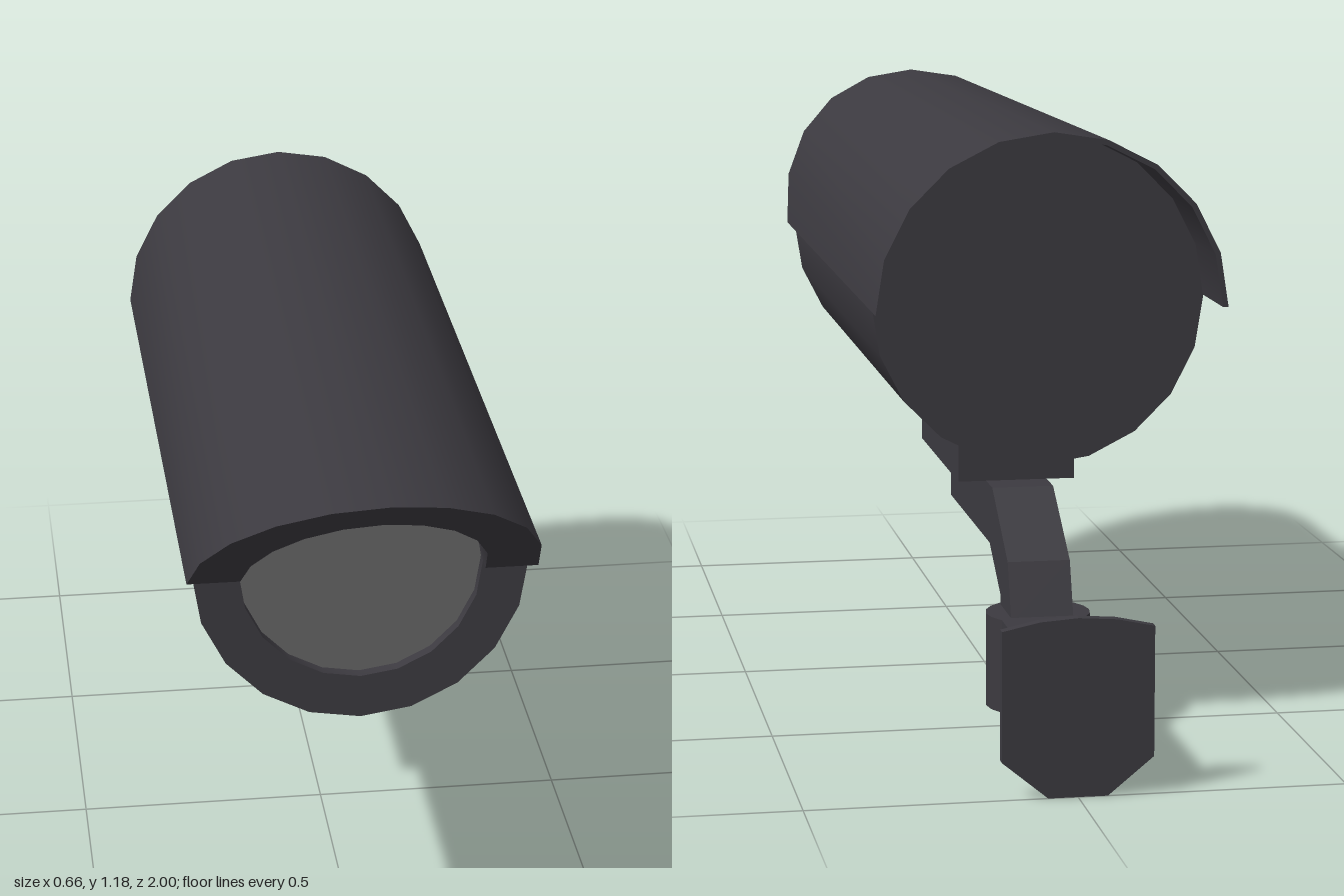
import * as THREE from 'three';
import { toCreasedNormals } from 'three/addons/utils/BufferGeometryUtils.js';

const AXIS_Y = 0.85; // height of the housing's centre line
const SIDES = 20;

// Half-round sunshade: one closed section per angle, joined into a solid
function hoodGeometry() {
  const height = (z) => 0.33 - 0.025 * (z + 0.75) / 1.75; // roof slopes down to the front
  const section = (a) => {
    const c = Math.cos(a), s = Math.sin(a);
    const shell = (r, z) => [r * c, AXIS_Y + (r / 0.33) * height(z) * s, z];
    const bore = (z) => [0.23 * c, AXIS_Y + 0.23 * s, z];
    return [
      shell(0.33, -0.75), shell(0.33, 0.65 + 0.35 * s),
      bore(0.65 + 0.264 * s), bore(0.62),
      shell(0.32, 0.62), shell(0.32, -0.75),
    ];
  };
  const pos = [];
  const tri = (...pts) => pts.forEach((p) => pos.push(...p));
  const n = SIDES / 2;
  for (let i = 0; i < n; i++) {
    const p = section((i / n) * Math.PI), q = section(((i + 1) / n) * Math.PI);
    for (let j = 0; j < 6; j++) {
      const k = (j + 1) % 6;
      tri(p[j], q[k], p[k]);
      tri(p[j], q[j], q[k]);
    }
  }
  // Lower edges
  const first = section(0), last = section(Math.PI);
  for (const [j, k] of [[5, 0], [0, 1], [1, 2], [2, 3]]) {
    tri(first[4], first[j], first[k]);
    tri(last[4], last[k], last[j]);
  }
  const g = new THREE.BufferGeometry();
  g.setAttribute('position', new THREE.Float32BufferAttribute(pos, 3));
  return toCreasedNormals(g, 0.6);
}

// Cylindrical housing with a shallow recess at the front
function housingGeometry() {
  const profile = [[0, -0.6], [0.317, -0.6], [0.317, 0.62], [0.23, 0.62], [0.23, 0.595]];
  const g = new THREE.LatheGeometry(profile.map(([r, y]) => new THREE.Vector2(r, y)), SIDES);
  g.rotateX(Math.PI / 2);
  // Lower the outer top a little towards the front, to stay under the hood
  const p = g.attributes.position;
  for (let i = 0; i < p.count; i++) {
    const outer = Math.hypot(p.getX(i), p.getY(i)) > 0.3;
    if (outer && p.getY(i) > 0) p.setY(i, p.getY(i) * (1 - 0.04 * (p.getZ(i) + 0.6) / 1.22));
  }
  g.translate(0, AXIS_Y, 0);
  return toCreasedNormals(g, 0.6);
}

function extrude(points, depth) {
  const shape = new THREE.Shape(points.map(([x, y]) => new THREE.Vector2(x, y)));
  return new THREE.ExtrudeGeometry(shape, { depth, bevelEnabled: false });
}

export function createModel() {
  const group = new THREE.Group();
  const charcoal = new THREE.MeshStandardMaterial({ color: 0x3c3a40 });
  charcoal.name = 'charcoal';
  const glass = new THREE.MeshStandardMaterial({ color: 0x666666 });
  glass.name = 'greyGlass';

  const add = (name, geometry, material = charcoal) => {
    const mesh = new THREE.Mesh(geometry, material);
    mesh.name = name;
    group.add(mesh);
    return mesh;
  };
  const box = (name, w, y0, y1, z0, z1) =>
    add(name, new THREE.BoxGeometry(w, y1 - y0, z1 - z0))
      .position.set(0, (y0 + y1) / 2, (z0 + z1) / 2);

  // Camera head
  add('housing', housingGeometry());
  add('hood', hoodGeometry());
  add('lensWindow', new THREE.CircleGeometry(0.23, SIDES), glass).position.set(0, AXIS_Y, 0.597);

  // Bracket under the head
  box('mountingPad', 0.23, 0.46, 0.56, -0.37, 0.1);
  const arm = extrude([
    [0.06, 0.345], [0.06, 0.46], [-0.44, 0.46], [-0.61, 0.35],
    [-0.65, 0.24], [-0.53, 0.24], [-0.53, 0.27], [-0.41, 0.345],
  ], 0.12);
  arm.rotateY(-Math.PI / 2).translate(0.06, 0, 0);
  add('bentArm', arm);

  // Wall mount
  add('swivelJoint', new THREE.CylinderGeometry(0.1, 0.1, 0.18, 20)).position.set(0, 0.16, -0.6);
  box('wallArm', 0.16, 0.07, 0.25, -0.6, -0.98);
  group.getObjectByName('wallArm').geometry = new THREE.BoxGeometry(0.16, 0.18, 0.38);
  add('wallPlate', extrude([
    [-0.055, 0], [0.055, 0], [0.14, 0.07], [0.14, 0.312],
    [0.07, 0.327], [0, 0.332], [-0.07, 0.327], [-0.14, 0.312], [-0.14, 0.07],
  ], 0.02)).position.z = -1;

  return group;
}
